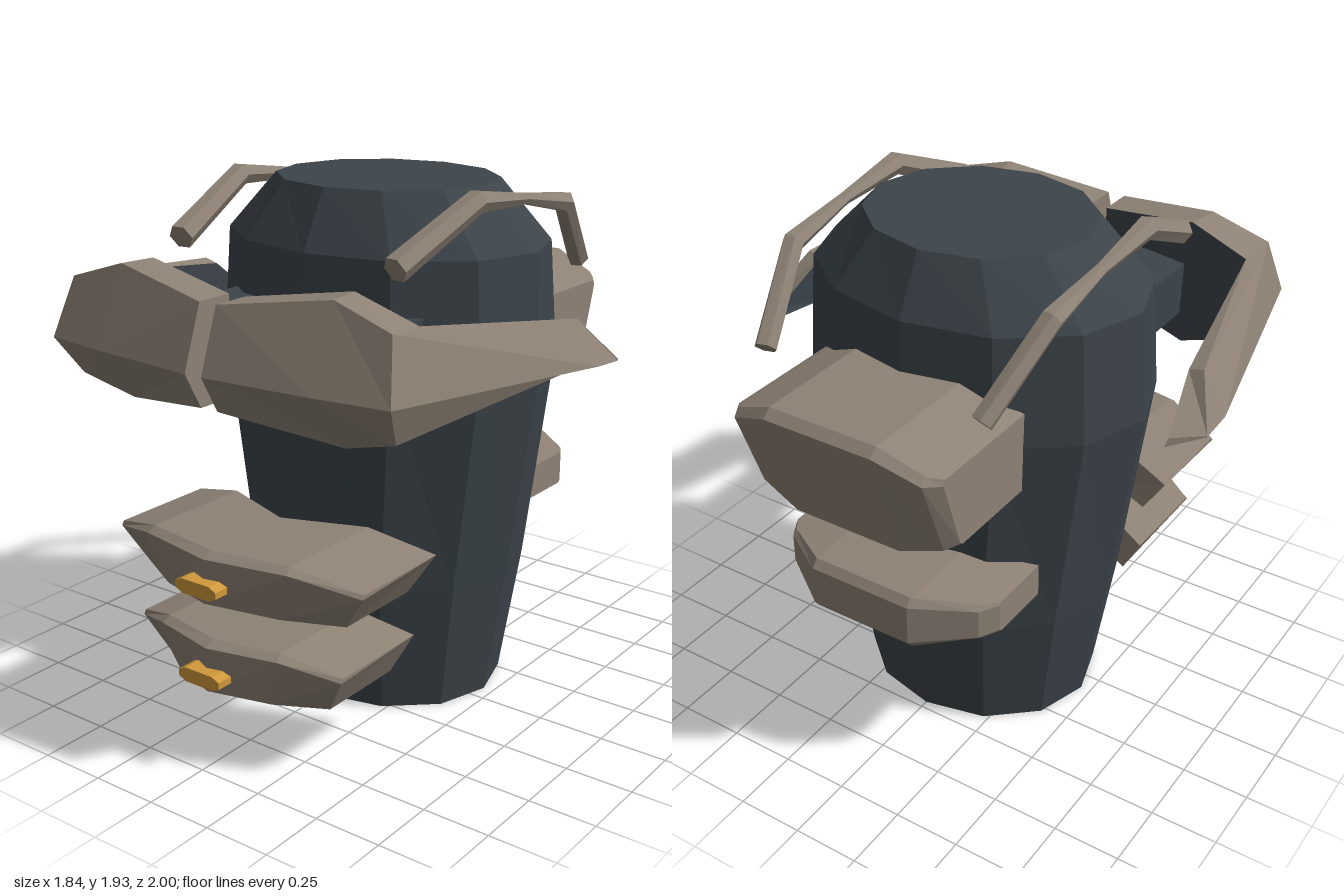
import * as THREE from 'three';

// Joins equal-sized loops of [x, y, z] points into a closed faceted solid.
// Strips listed in innerStrips go to a second material group.
function loft(loops, innerStrips = []) {
  const outer = [], inner = [];
  const n = loops[0].length;
  for (let i = 0; i + 1 < loops.length; i++) {
    for (let j = 0; j < n; j++) {
      const k = (j + 1) % n;
      const a = loops[i][j], b = loops[i][k], c = loops[i + 1][k], d = loops[i + 1][j];
      (innerStrips.includes(j) ? inner : outer).push([a, b, c], [a, c, d]);
    }
  }
  const last = loops[loops.length - 1];
  for (let j = 1; j + 1 < n; j++) {
    outer.push([loops[0][0], loops[0][j + 1], loops[0][j]], [last[0], last[j], last[j + 1]]);
  }
  const tris = [...outer, ...inner];
  // A negative signed volume means the faces point inwards
  const va = new THREE.Vector3(), vb = new THREE.Vector3(), vc = new THREE.Vector3();
  let volume = 0;
  for (const [a, b, c] of tris) {
    volume += va.fromArray(a).dot(vb.fromArray(b).cross(vc.fromArray(c)));
  }
  if (volume < 0) tris.forEach((t) => t.reverse());
  const geometry = new THREE.BufferGeometry();
  geometry.setAttribute('position', new THREE.Float32BufferAttribute(tris.flat(2), 3));
  geometry.addGroup(0, outer.length * 3, 0);
  if (inner.length) geometry.addGroup(outer.length * 3, inner.length * 3, 1);
  geometry.computeVertexNormals();
  return geometry;
}

const flip = (loop, s) => loop.map(([x, y, z]) => [x * s, y, z]);

// Completes a half list of loops (outermost first) across x = 0
function mirrored(half) {
  const other = half.filter((loop) => loop[0][0] > 0).reverse();
  return [...half, ...other.map((loop) => flip(loop, -1))];
}

const atX = (x, zy) => zy.map(([z, y]) => [x, y, z]);

export function createModel() {
  const group = new THREE.Group();
  const dark = new THREE.MeshStandardMaterial({ color: 0x3c444a });
  const tan = new THREE.MeshStandardMaterial({ color: 0x8e8275 });
  const gold = new THREE.MeshStandardMaterial({ color: 0xd0983a });
  dark.name = 'charcoal';
  tan.name = 'stone';
  gold.name = 'amber';

  function add(name, geometry, material) {
    const mesh = new THREE.Mesh(geometry, material);
    mesh.name = name;
    group.add(mesh);
    return mesh;
  }

  // Twelve-sided torso: [y, half width, half depth]
  const torso = [
    [0, 0.46, 0.4], [0.49, 0.54, 0.473], [1.3, 0.66, 0.505],
    [1.7, 0.63, 0.48], [1.91, 0.42, 0.37],
  ].map(([y, rx, rz]) => Array.from({ length: 12 }, (_, i) => {
    const a = (i * Math.PI) / 6;
    return [rx * Math.cos(a), y, -0.07 + rz * Math.sin(a)];
  }));
  add('torso', loft(torso), dark);

  // Chest plate running from the centre gap round to a swept-back wing.
  // Each loop: top back, top front, front ridge, bottom front, bottom back
  const chest = [
    [[0.035, 1.62, 0.75], [0.035, 1.62, 0.89], [0.035, 1.4, 0.97], [0.035, 1.27, 0.9], [0.035, 1.27, 0.75]],
    [[0.43, 1.68, 0.69], [0.45, 1.68, 0.82], [0.45, 1.4, 0.935], [0.46, 1.2, 0.78], [0.43, 1.2, 0.66]],
    [[0.66, 1.6, 0.67], [0.675, 1.61, 0.83], [0.72, 1.4, 0.9], [0.675, 1.26, 0.81], [0.66, 1.27, 0.67]],
    [[0.775, 1.5, 0], [0.83, 1.515, 0], [0.92, 1.365, 0], [0.8, 1.325, 0], [0.775, 1.325, 0]],
    [[0.82, 1.36, -0.215], [0.92, 1.36, -0.134], [0.92, 1.355, -0.134], [0.815, 1.33, -0.225], [0.813, 1.33, -0.225]],
  ];

  // Shoulder horn: [x, y, z, radius], pinched in the middle
  const horn = [
    [0.46, 1.72, 0.52, 0.048], [0.515, 1.89, 0.14, 0.042], [0.515, 1.86, -0.16, 0.022],
    [0.51, 1.81, -0.45, 0.04], [0.43, 1.55, -0.72, 0.04],
  ];
  const hornLoops = horn.map(([x, y, z, r], i) => {
    const p = horn[Math.max(i - 1, 0)], q = horn[Math.min(i + 1, horn.length - 1)];
    const dir = new THREE.Vector3(q[0] - p[0], q[1] - p[1], q[2] - p[2]).normalize();
    const side = new THREE.Vector3(0, 1, 0).cross(dir).normalize();
    const up = dir.clone().cross(side);
    return Array.from({ length: 6 }, (_, k) => {
      const a = (k * Math.PI) / 3;
      return new THREE.Vector3(x, y, z)
        .addScaledVector(side, r * Math.cos(a))
        .addScaledVector(up, r * Math.sin(a)).toArray();
    });
  });

  for (const [s, label] of [[1, 'left'], [-1, 'right']]) {
    add(label + 'ChestPlate', loft(chest.map((l) => flip(l, s)), [4]), [tan, dark]);
    add(label + 'ShoulderHorn', loft(hornLoops.map((l) => flip(l, s))), tan);
    // Strut holding the chest plate off the torso
    const strut = add(label + 'ChestStrut', new THREE.BoxGeometry(0.215, 0.2, 0.5), dark);
    strut.position.set(0.303 * s, 1.41, 0.49);
  }

  // Belly plates, the lower one narrower, each with a small clasp
  const belly = mirrored([
    [[0.54, 0.725, 0.385], [0.54, 0.725, 0.79], [0.54, 0.71, 0.8], [0.44, 0.57, 0.755], [0.44, 0.57, 0.41]],
    [[0.3, 0.79, 0.45], [0.3, 0.79, 0.87], [0.31, 0.77, 0.9], [0.25, 0.587, 0.87], [0.25, 0.587, 0.48]],
    [[0, 0.79, 0.56], [0, 0.79, 0.92], [0, 0.77, 0.96], [0, 0.61, 0.96], [0, 0.61, 0.56]],
  ]);
  const clasp = new THREE.Shape([
    [-0.09, -0.012], [-0.06, -0.026], [0.06, -0.026], [0.09, -0.012],
    [0.09, 0.012], [0.06, 0.026], [-0.06, 0.026], [-0.09, 0.012],
  ].map(([x, y]) => new THREE.Vector2(x, y)));
  for (const [label, width, drop, claspY] of [['upper', 1, 0, 0.675], ['lower', 0.835, 0.325, 0.347]]) {
    const plate = add(label + 'BellyPlate', loft(belly), tan);
    plate.scale.x = width;
    plate.position.y = -drop;
    const pin = add(label + 'Clasp', new THREE.ExtrudeGeometry(clasp, { depth: 0.1, bevelEnabled: false }), gold);
    pin.position.set(0, claspY, 0.9);
  }

  // Back packs: profiles of [z, y] at steps across the width
  add('upperBackPack', loft(mirrored([
    atX(0.41, [[-0.44, 1.43], [-0.89, 1.43], [-0.9, 1.41], [-0.815, 1.145], [-0.8, 1.135], [-0.45, 1.135]]),
    atX(0.37, [[-0.45, 1.45], [-0.935, 1.45], [-0.96, 1.425], [-0.85, 1.12], [-0.81, 1.115], [-0.47, 1.115]]),
    atX(0.21, [[-0.5, 1.52], [-0.965, 1.52], [-0.998, 1.49], [-0.875, 1.07], [-0.82, 1.04], [-0.57, 1.04]]),
  ])), tan);
  add('lowerBackPack', loft(mirrored([
    atX(0.44, [[-0.38, 0.79], [-0.62, 0.79], [-0.63, 0.78], [-0.63, 0.675], [-0.62, 0.665], [-0.38, 0.665]]),
    atX(0.4, [[-0.4, 0.797], [-0.68, 0.797], [-0.7, 0.78], [-0.7, 0.67], [-0.68, 0.657], [-0.4, 0.657]]),
    atX(0.2, [[-0.5, 0.83], [-0.81, 0.83], [-0.835, 0.8], [-0.835, 0.65], [-0.81, 0.62], [-0.52, 0.62]]),
  ])), tan);

  return group;
}
